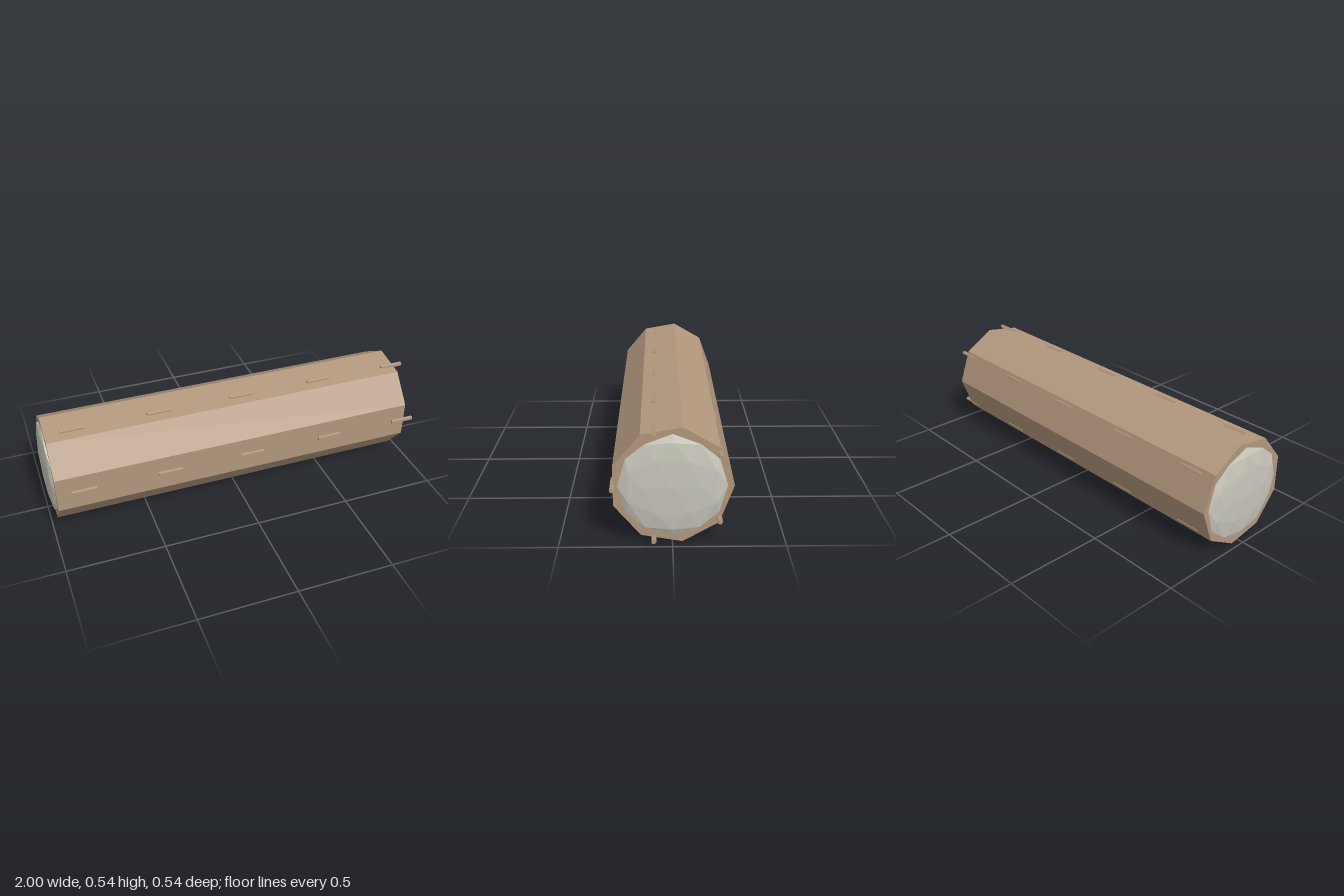
import * as THREE from 'three';

const CY = 0.269, CZ = 0.003; // axis of the log

// Faceted prism lying along x, with one corner pointing to -z
function prism(radius, length, sides) {
  const geo = new THREE.CylinderGeometry(radius, radius, length, sides, 1, false, Math.PI)
    .rotateZ(Math.PI / 2)
    .toNonIndexed();
  geo.computeVertexNormals();
  return geo;
}

export function createModel() {
  const group = new THREE.Group();
  const bark = new THREE.MeshStandardMaterial({ color: 0xb2977d });
  bark.name = 'bark brown';
  const core = new THREE.MeshStandardMaterial({ color: 0xc9c7bb });
  core.name = 'pale core';

  const add = (name, geo, mat, x, y, z) => {
    const mesh = new THREE.Mesh(geo, mat);
    mesh.name = name;
    mesh.position.set(x, y, z);
    group.add(mesh);
  };

  // Nine-sided body
  add('body', prism(0.273, 1.92, 9), bark, -0.01, CY, CZ);

  // Flattened faceted domes on both ends
  const dome = new THREE.IcosahedronGeometry(0.24, 1).scale(0.03 / 0.24, 1, 1);
  dome.computeVertexNormals();
  add('leftEnd', dome, core, 0.95, CY, 0);
  add('rightEnd', dome, core, -0.97, CY, 0);

  // Five rows of small five-sided pegs around the body
  const peg = prism(0.0115, 0.125, 5);
  for (let row = 0; row < 5; row++) {
    const a = (row * Math.PI * 2) / 5;
    for (let i = 0; i < 5; i++) {
      add('peg', peg, bark, -0.832 + i * 0.4423,
        CY + 0.259 * Math.sin(a), CZ + 0.259 * Math.cos(a));
    }
  }
  return group;
}
